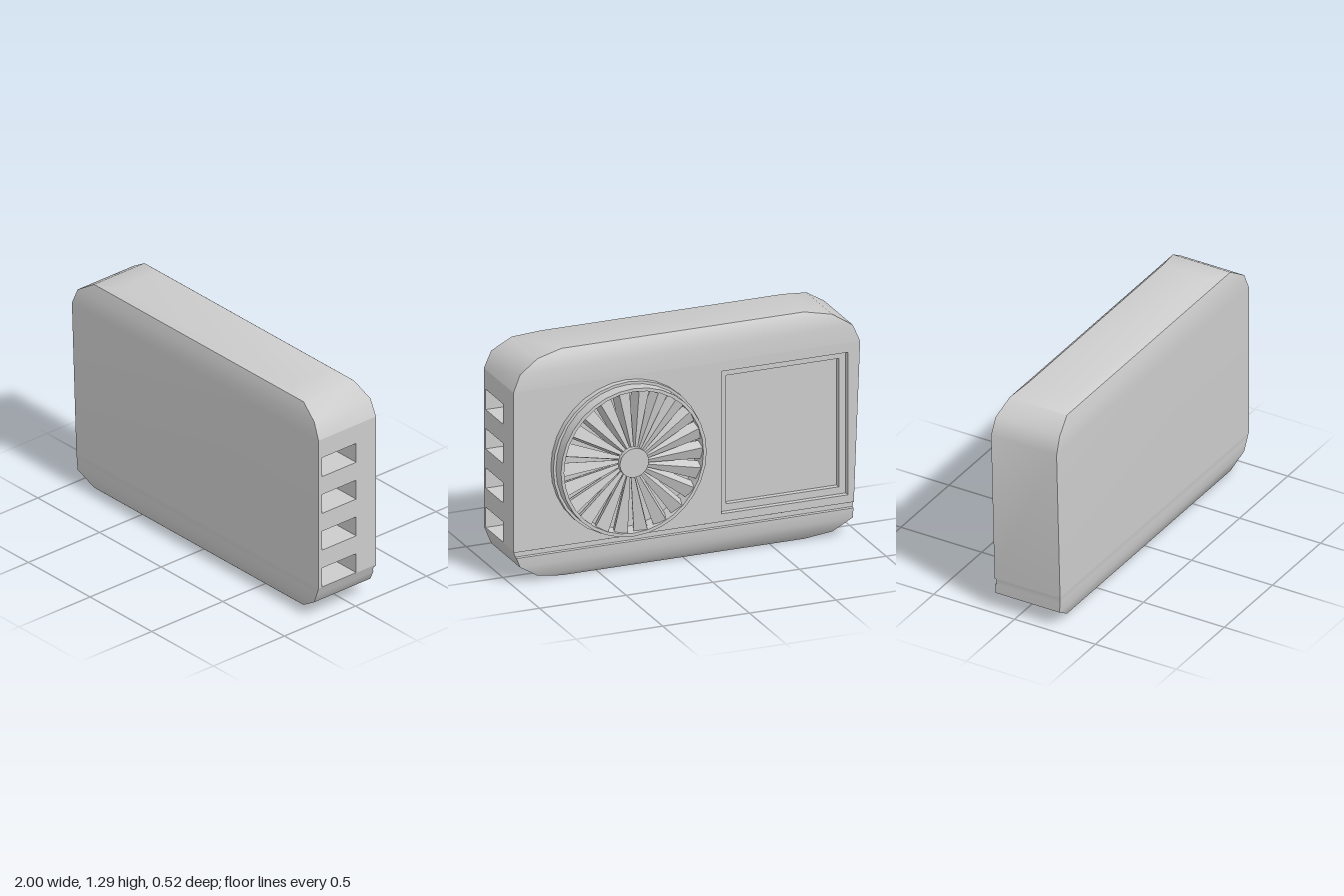
import * as THREE from 'three';
import { toCreasedNormals } from 'three/addons/utils/BufferGeometryUtils.js';

const grey = new THREE.MeshStandardMaterial({ color: 0xcccccc });

function add(parent, name, geometry, x = 0, y = 0, z = 0) {
  const mesh = new THREE.Mesh(geometry, grey);
  mesh.name = name;
  mesh.position.set(x, y, z);
  parent.add(mesh);
  return mesh;
}

const corners = (u0, u1, v0, v1) => [[u0, v0], [u1, v0], [u1, v1], [u0, v1]];

// Flat wall with rectangular openings
function wall(outline, holes) {
  const path = (pts) => pts.map((p) => new THREE.Vector2(...p));
  const shape = new THREE.Shape(path(outline));
  holes.forEach((h) => shape.holes.push(new THREE.Path(path(h))));
  return new THREE.ShapeGeometry(shape);
}

// Box seen from inside; open lists the faces left out (+x -x +y -y +z -z = 0..5)
function recess(w, h, d, open) {
  const g = new THREE.BoxGeometry(w, h, d);
  const index = Array.from(g.index.array).filter((_, i) => !open.includes(Math.floor(i / 6)));
  g.setIndex(index.reverse());
  g.attributes.normal.array.forEach((n, i, a) => { a[i] = -n; });
  return g;
}

// Body levels: y, left edge x, right edge x, back z, front z
const LEVELS = [
  [0, -0.7, 0.7, -0.09, 0.2],
  [0.03, -0.85, 0.85, -0.12, 0.235],
  [0.1, -0.96, 0.96, -0.14, 0.255],
  [0.155, -0.962, 0.982, -0.143, 0.258],
  [0.16, -0.962, 0.984, -0.133, 0.258],
  [0.185, -0.963, 0.994, -0.133, 0.259],
  [0.19, -0.964, 0.996, -0.145, 0.26],
  [0.2, -0.964, 1, -0.145, 0.26],
  [1.1, -1, 1, -0.145, 0.26],
  [1.195, -0.96, 0.96, -0.14, 0.255],
  [1.265, -0.85, 0.85, -0.12, 0.235],
  [1.29, -0.7, 0.7, -0.09, 0.2],
];
const FLAT = 7; // band whose right and back walls carry openings

function shell() {
  const pos = [];
  const index = [];
  LEVELS.forEach(([y, l, r, b, f]) => pos.push(r, y, f, r, y, b, l, y, b, l, y, f));
  for (let i = 0; i < LEVELS.length - 1; i++) {
    for (let k = 0; k < 4; k++) {
      if (i === FLAT && k < 2) continue;
      const a = i * 4 + k, b = i * 4 + (k + 1) % 4;
      index.push(a, b, b + 4, a, b + 4, a + 4);
    }
  }
  const t = (LEVELS.length - 1) * 4;
  index.push(t, t + 1, t + 2, t, t + 2, t + 3, 0, 2, 1, 0, 3, 2);
  const g = new THREE.BufferGeometry();
  g.setAttribute('position', new THREE.Float32BufferAttribute(pos, 3));
  g.setIndex(index);
  return toCreasedNormals(g, 0.65);
}

function buildFan() {
  const fan = new THREE.Group();
  fan.name = 'fan';
  // Stepped ring
  const profile = [[0.435, 0], [0.435, 0.035], [0.42, 0.035], [0.42, 0.105], [0.402, 0.105], [0.402, 0]]
    .map((p) => new THREE.Vector2(...p));
  const ring = new THREE.LatheGeometry(profile, 32);
  ring.rotateX(-Math.PI / 2);
  add(fan, 'fanRing', toCreasedNormals(ring, 0.5));
  // Hub
  const hub = new THREE.CylinderGeometry(0.083, 0.083, 0.113, 24);
  hub.rotateX(-Math.PI / 2);
  add(fan, 'fanHub', hub, 0, 0, -0.0565);
  // Tilted blades widening towards the ring
  const inner = 0.07, outer = 0.408, count = 22;
  const blade = new THREE.BoxGeometry(outer - inner, 1, 0.062);
  const p = blade.attributes.position;
  for (let i = 0; i < p.count; i++) p.setY(i, p.getY(i) * (p.getX(i) < 0 ? 0.016 : 0.075));
  blade.rotateX(0.35);
  blade.translate((inner + outer) / 2, 0, -0.058);
  const flatBlade = blade.toNonIndexed();
  flatBlade.computeVertexNormals();
  for (let i = 0; i < count; i++) {
    add(fan, 'fanBlade', flatBlade).rotation.z = (i / count) * Math.PI * 2;
  }
  fan.position.set(0.35, 0.645, -0.145);
  return fan;
}

export function createModel() {
  const model = new THREE.Group();
  model.name = 'airUnit';
  add(model, 'bodyShell', shell());

  // Right wall with four deep vents
  const ventZ0 = -0.005, ventZ1 = 0.235, ventH = 0.115, ventDepth = 0.25;
  const ventY = [0, 1, 2, 3].map((i) => 0.202 + i * 0.2235);
  const side = wall(corners(-0.26, 0.145, 0.2, 1.1),
    ventY.map((y) => corners(-ventZ1, -ventZ0, y, y + ventH)));
  side.rotateY(Math.PI / 2);
  add(model, 'ventWall', side, 1, 0, 0);
  const vent = recess(ventDepth, ventH, ventZ1 - ventZ0, [0]);
  ventY.forEach((y) => add(model, 'vent', vent, 1 - ventDepth / 2, y + ventH / 2, (ventZ0 + ventZ1) / 2));

  // Back wall with a panel sunk in two steps
  const x0 = -0.93, x1 = -0.2, y0 = 0.235, y1 = 1.045, step = 0.04, depth = 0.032;
  const back = wall([[-1, 0.2], [0.964, 0.2], [1, 1.1], [-1, 1.1]], [corners(-x1, -x0, y0, y1)]);
  back.rotateY(Math.PI);
  add(model, 'backWall', back, 0, 0, -0.145);
  const cx = (x0 + x1) / 2, cy = (y0 + y1) / 2, w = x1 - x0, h = y1 - y0;
  add(model, 'panelOuterStep', recess(w, h, depth, [4, 5]), cx, cy, -0.145 + depth / 2);
  const ledge = wall(corners(-w / 2, w / 2, -h / 2, h / 2),
    [corners(-w / 2 + step, w / 2 - step, -h / 2 + step, h / 2 - step)]);
  ledge.rotateY(Math.PI);
  add(model, 'panelLedge', ledge, cx, cy, -0.145 + depth);
  add(model, 'panelInnerStep', recess(w - 2 * step, h - 2 * step, depth, [5]), cx, cy, -0.145 + depth * 1.5);

  model.add(buildFan());
  return model;
}
